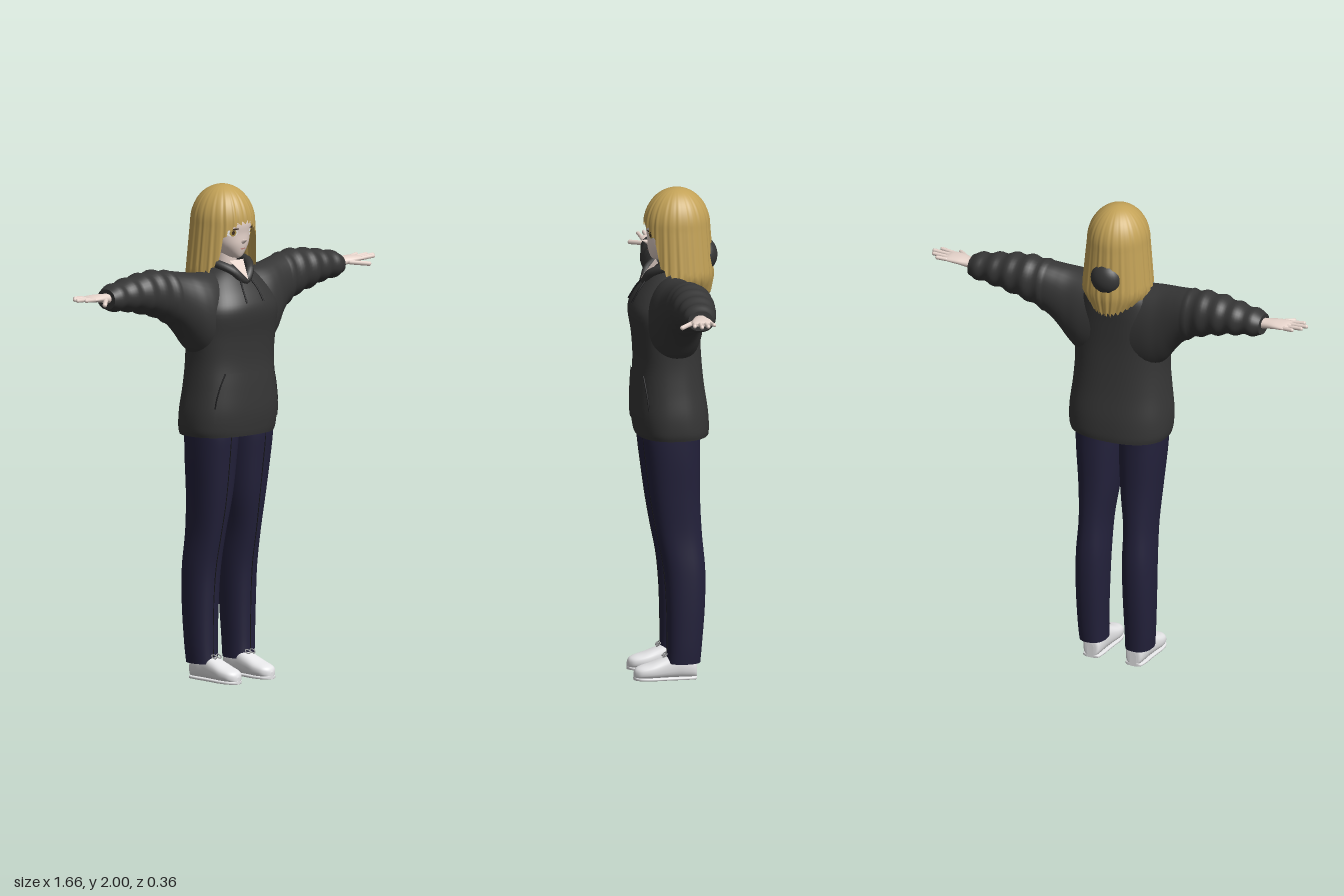
import * as THREE from 'three';

const mat = (name, color, side = THREE.FrontSide) => {
  const m = new THREE.MeshStandardMaterial({ color, side });
  m.name = name;
  return m;
};

// Catmull-Rom refinement of a table of cross-sections
function refine(rows, k = 5) {
  const out = [], last = rows.length - 1;
  for (let i = 0; i < last; i++) for (let j = 0; j < k; j++) {
    const t = j / k, a = rows[Math.max(i - 1, 0)], b = rows[i], c = rows[i + 1], d = rows[Math.min(i + 2, last)];
    out.push(b.map((_, q) => 0.5 * (2 * b[q] + (c[q] - a[q]) * t + (2 * a[q] - 5 * b[q] + 4 * c[q] - d[q]) * t * t
      + (3 * b[q] - a[q] - 3 * c[q] + d[q]) * t * t * t)));
  }
  out.push(rows[last]);
  return out;
}

// Joins rings of points into a closed, capped skin that faces outward
function skin(rings) {
  const m = rings[0].length, pos = rings.flat(2), idx = [];
  rings.slice(1).forEach((_, i) => {
    for (let j = 0; j < m; j++) {
      const a = i * m + j, b = i * m + (j + 1) % m;
      idx.push(a, b, a + m, b, b + m, a + m);
    }
  });
  for (const [ring, flip] of [[rings[0], true], [rings[rings.length - 1], false]]) {
    const base = pos.length / 3;
    pos.push(...ring.flat(), ...[0, 1, 2].map(q => ring.reduce((s, p) => s + p[q] / m, 0)));
    for (let j = 0; j < m; j++) {
      const a = base + j, b = base + (j + 1) % m;
      idx.push(...(flip ? [b, a, base + m] : [a, b, base + m]));
    }
  }
  const v = i => new THREE.Vector3().fromArray(pos, idx[i] * 3);
  let volume = 0;
  for (let i = 0; i < idx.length; i += 3) volume += v(i).dot(v(i + 1).cross(v(i + 2)));
  if (volume < 0) idx.reverse();
  const g = new THREE.BufferGeometry();
  g.setAttribute('position', new THREE.Float32BufferAttribute(pos, 3));
  g.setIndex(idx);
  g.computeVertexNormals();
  return g;
}

// Rounded sections along an axis; row = [position, high1, low1, high2, low2]
function loft(axis, rows, n = 2, seg = 32) {
  return skin(rows.map(([t, a1, a0, b1, b0]) => Array.from({ length: seg }, (_, j) => {
    const th = j / seg * Math.PI * 2, c = Math.cos(th), s = Math.sin(th);
    const a = (a1 + a0) / 2 + (a1 - a0) / 2 * Math.sign(c) * Math.abs(c) ** (2 / n);
    const b = (b1 + b0) / 2 + (b1 - b0) / 2 * Math.sign(s) * Math.abs(s) ** (2 / n);
    return axis === 'x' ? [t, a, b] : axis === 'y' ? [a, t, b] : [a, b, t];
  })));
}

// Front depth of an upright loft at (x, y)
function frontZ(rows, n, x, y) {
  const i = Math.max(0, rows.findIndex((r, k) => k < rows.length - 1 && (r[0] - y) * (rows[k + 1][0] - y) <= 0));
  const p = rows[i], q = rows[i + 1], t = (y - p[0]) / (q[0] - p[0]);
  const [, x1, x0, z1, z0] = p.map((w, k) => w + (q[k] - w) * t);
  const u = Math.min(1, Math.abs(x - (x1 + x0) / 2) / ((x1 - x0) / 2));
  return (z1 + z0) / 2 + (z1 - z0) / 2 * (1 - u ** n) ** (1 / n);
}

function mirrored(g) {
  const m = g.clone().scale(-1, 1, 1);
  m.setIndex(Array.from(g.index.array).reverse());
  return m;
}

const tube = (pts, r, closed = false, seg = 32) =>
  new THREE.TubeGeometry(new THREE.CatmullRomCurve3(pts.map(p => new THREE.Vector3(...p)), closed), seg, r, 8, closed);

function finger(a, b, r) {
  const p = new THREE.Vector3(...a), q = new THREE.Vector3(...b), d = q.clone().sub(p);
  const g = new THREE.CapsuleGeometry(r, d.length() - r, 4, 10);
  g.applyQuaternion(new THREE.Quaternion().setFromUnitVectors(new THREE.Vector3(0, 1, 0), d.clone().normalize()));
  const mid = p.add(q).multiplyScalar(0.5);
  return g.translate(mid.x, mid.y, mid.z);
}

export function createModel() {
  const root = new THREE.Group();
  root.name = 'figure';
  const cloth = mat('charcoal', 0x363636), navy = mat('navy', 0x23213b), skinTone = mat('skin', 0xefdcd3, THREE.DoubleSide);
  const blonde = mat('blonde', 0xc3a257, THREE.DoubleSide), white = mat('white', 0xececee), black = mat('black', 0x161618);
  const amber = mat('amber', 0xa58a45), lash = mat('dark brown', 0x3d2e22), lip = mat('lip', 0xb98078), grey = mat('grey', 0x9a9a9c);
  const add = (name, g, m) => {
    const mesh = new THREE.Mesh(g, m);
    mesh.name = name;
    root.add(mesh);
  };
  const pair = (name, g, m) => {
    add(name + 'Left', g, m);
    add(name + 'Right', mirrored(g), m);
  };

  // Sweatshirt body
  const N = 2.4;
  const torso = refine([[1, .205, .15, -.143], [1.03, .213, .156, -.145], [1.1, .214, .163, -.14], [1.2, .203, .16, -.125],
    [1.3, .196, .154, -.115], [1.4, .199, .16, -.11], [1.5, .2, .174, -.112], [1.56, .18, .155, -.115],
    [1.62, .145, .112, -.115], [1.66, .1, .075, -.1], [1.68, .05, .045, -.07]].map(([y, r, f, b]) => [y, r, -r, f, b]));
  add('sweatshirtBody', loft('y', torso, N, 56), cloth);

  // Sleeves with soft folds toward the cuff
  const sleeve = refine([[.04, 1.655, 1.27, .1, -.1], [.14, 1.66, 1.3, .12, -.105], [.2, 1.665, 1.345, .112, -.1],
    [.25, 1.672, 1.41, .09, -.098], [.3, 1.68, 1.46, .073, -.1], [.38, 1.69, 1.502, .06, -.107], [.46, 1.685, 1.525, .058, -.105],
    [.52, 1.675, 1.54, .046, -.1], [.59, 1.662, 1.55, .038, -.09], [.645, 1.648, 1.557, .03, -.08]], 7)
    .map(([x, ...r]) => {
      const f = x > .32 ? .0045 * Math.sin(x * 85) : 0;
      return [x, r[0] + f, r[1] - f, r[2] + f, r[3] - f];
    });
  pair('sleeve', loft('x', sleeve, 2.1, 36), cloth);

  // Front pocket with its slanted openings
  const pocket = new THREE.PlaneGeometry(2, 1, 28, 12), pp = pocket.attributes.position;
  const pocketW = t => .178 - .045 * t * t;
  for (let i = 0; i < pp.count; i++) {
    const t = pp.getY(i) + .5, x = pp.getX(i) * pocketW(t), y = 1.06 + .2 * t;
    pp.setXYZ(i, x, y, frontZ(torso, N, x, y) + .005);
  }
  pocket.computeVertexNormals();
  add('pocket', pocket, cloth);
  pair('pocketOpening', tube([.3, .5, .75, 1].map(t => {
    const x = pocketW(t), y = 1.06 + .2 * t;
    return [x, y, frontZ(torso, N, x, y) + .003];
  }), .003), black);

  // Hood, neckline and drawstrings
  const rim = [[.045, 1.662, .09], [.082, 1.69, .03], [.09, 1.695, -.05], [.06, 1.7, -.11]];
  add('hoodRim', tube([[0, 1.622, .108], ...rim, [0, 1.705, -.125], ...rim.map(([x, y, z]) => [-x, y, z]).reverse()], .018, true, 64), cloth);
  add('hoodBack', new THREE.SphereGeometry(1, 28, 18).scale(.066, .066, .05).translate(0, 1.722, -.134), cloth);
  const vee = new THREE.BufferGeometry();
  vee.setAttribute('position', new THREE.Float32BufferAttribute([0, 1.628, .128, .038, 1.7, .06, -.038, 1.7, .06], 3));
  vee.setIndex([0, 1, 2]);
  vee.computeVertexNormals();
  add('neckline', vee, skinTone);
  pair('drawstring', tube([[.025, 1.635], [.04, 1.59], [.046, 1.54]].map(([x, y]) => [x, y, frontZ(torso, N, x, y) + .006]), .0035), black);

  // Trousers with a front crease
  const leg = refine([[1.06, .19, .001, .125, -.105], [1, .19, .002, .13, -.1], [.9, .185, .005, .119, -.1], [.75, .172, .015, .1, -.1],
    [.6, .163, .034, .074, -.107], [.45, .168, .036, .046, -.12], [.3, .168, .04, .036, -.118], [.15, .163, .045, .033, -.107],
    [.07, .157, .046, .035, -.1]]);
  pair('trouserLeg', loft('y', leg, 2.3, 36), navy);
  pair('trouserCrease', tube(leg.filter((_, i) => i % 4 === 0).map(r => [(r[1] + r[2]) / 2, r[0], r[3]]), .002, false, 48), black);

  // Shoes: upper, sole and lace bow
  const shoe = refine([[-.087, .015, .06], [-.08, .034, .085], [-.04, .041, .105], [0, .042, .108], [.05, .045, .088],
    [.1, .048, .068], [.14, .041, .056], [.16, .024, .046], [.168, .006, .03]]);
  pair('shoe', loft('z', shoe.map(([z, w, h]) => [z, .094 + w, .094 - w, h, .004]), 2.5, 28), white);
  pair('sole', loft('z', shoe.map(([z, w]) => [z, .095 + w, .093 - w, .014, 0]), 4, 24), white);
  for (const s of [-1, 1]) pair('laceLoop', new THREE.TorusGeometry(.011, .0025, 6, 16).rotateX(-.9).translate(.094 + s * .013, .1, .042), grey);

  // Hands
  pair('palm', loft('x', refine([[.625, 1.626, 1.585, .002, -.05], [.66, 1.627, 1.59, .008, -.053], [.7, 1.629, 1.599, .02, -.06],
    [.74, 1.627, 1.604, .024, -.062], [.762, 1.621, 1.61, .02, -.058]]), 2.2, 24), skinTone);
  [[-.052, .79, -.06], [-.03, .818, -.032], [-.007, .828, -.005], [.014, .806, .022]].forEach(([z, x, z1]) =>
    pair('finger', finger([.745, 1.616, z], [x, 1.62, z1], .008), skinTone));
  pair('thumb', finger([.68, 1.607, .008], [.742, 1.6, .066], .0095), skinTone);

  // Head and neck
  const head = refine([[1.71, .012, .075, .03], [1.718, .028, .084, .0], [1.74, .054, .093, -.05], [1.77, .077, .099, -.085],
    [1.81, .091, .1, -.1], [1.86, .097, .104, -.115], [1.92, .085, .08, -.105], [1.965, .045, .03, -.07]].map(([y, r, f, b]) => [y, r, -r, f, b]));
  add('head', loft('y', head, 2.1, 48), skinTone);
  add('neck', new THREE.CylinderGeometry(.04, .046, .13, 24).rotateX(.12).translate(0, 1.695, .0), skinTone);
  add('nose', new THREE.ConeGeometry(.011, .03, 10).rotateX(1.25).translate(0, 1.783, .109), skinTone);

  // Painted face details following the head's curve
  const decal = (cx, cy, w, h, off, tilt = 0) => {
    const g = new THREE.CircleGeometry(1, 24), p = g.attributes.position;
    for (let i = 0; i < p.count; i++) {
      const x = cx + p.getX(i) * w, y = cy + p.getY(i) * h + p.getX(i) * tilt;
      p.setXYZ(i, x, y, frontZ(head, 2.1, x, y) + off);
    }
    return g;
  };
  pair('eyeWhite', decal(.05, 1.817, .019, .014, .003), white);
  pair('iris', decal(.049, 1.818, .0115, .0145, .0045), amber);
  pair('pupil', decal(.049, 1.818, .005, .008, .006), lash);
  pair('eyelash', decal(.051, 1.832, .022, .0035, .007, -.002), lash);
  pair('eyebrow', decal(.05, 1.853, .02, .002, .004), blonde);
  add('mouth', decal(0, 1.75, .014, .003, .003), lip);

  // Hair: columns of strands from the crown, each with its own length
  const cols = 180, lines = 30, hp = [], hi = [];
  const tips = [[0, 1.862], [.3, 1.85], [.6, 1.825], [.78, 1.79], [.86, 1.71], [1.1, 1.668], [1.5, 1.64], [2.1, 1.6], [2.6, 1.572], [3.2, 1.565]];
  const tipY = a => {
    const s = Math.abs(a), i = tips.findIndex((q, k) => k > 0 && s <= q[0]);
    const [p, q] = [tips[i - 1], tips[i]];
    const saw = (Math.abs(a) * 6.3 + (a > 0 ? .3 : 0)) % 1;
    return p[1] + (q[1] - p[1]) * (s - p[0]) / (q[0] - p[0]) + (saw - .5) * .022;
  };
  for (let j = 0; j <= cols; j++) {
    const a = (j / cols * 2 - 1) * Math.PI, end = tipY(a);
    for (let i = 0; i <= lines; i++) {
      const v = i / lines, y = 2 - (2 - end) * v * v, low = Math.max(0, (1.85 - y) / .2);
      const dome = y > 1.85 ? Math.sqrt(Math.max(0, 1 - ((y - 1.85) / .15) ** 2)) : 1;
      const curl = Math.max(0, 1.64 - y) * .7, ripple = 1 + .014 * v * Math.sin(a * 26) + .008 * v * Math.sin(a * 43);
      const rx = (.125 * dome + .018 * Math.min(low, 1) - curl) * ripple;
      const rz = (.133 * dome + .008 * Math.min(low, 1) - curl * .3) * ripple;
      hp.push(rx * Math.sin(a), y, -.02 - .006 * low + rz * Math.cos(a));
      if (i < lines && j < cols) {
        const k = j * (lines + 1) + i, n = k + lines + 1;
        hi.push(k, k + 1, n, n, k + 1, n + 1);
      }
    }
  }
  const hair = new THREE.BufferGeometry();
  hair.setAttribute('position', new THREE.Float32BufferAttribute(hp, 3));
  hair.setIndex(hi);
  hair.computeVertexNormals();
  add('hair', hair, blonde);
  return root;
}
